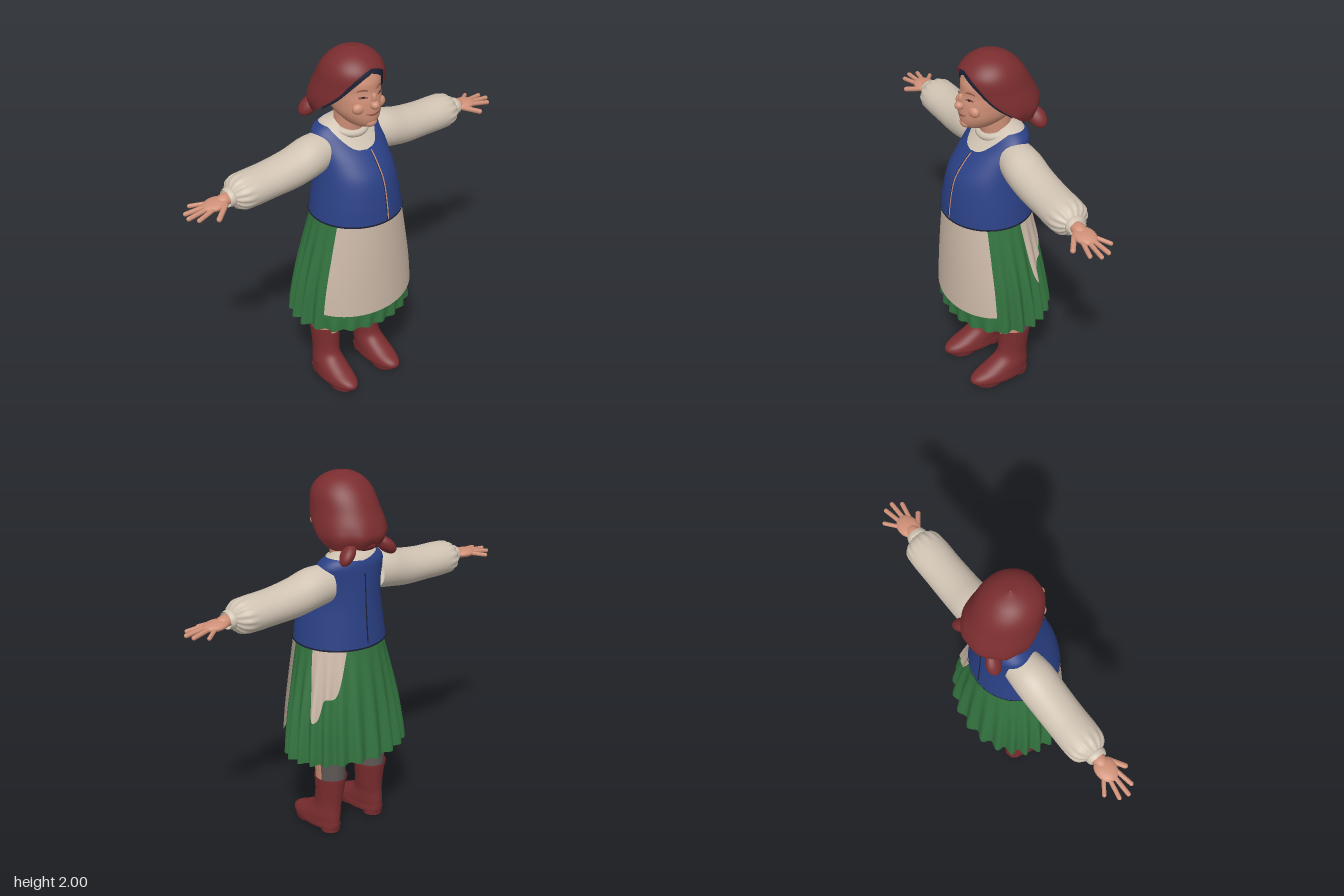
import * as THREE from 'three';

const mat = (name, color, side = THREE.DoubleSide) => {
  const m = new THREE.MeshStandardMaterial({ color, side });
  m.name = name;
  return m;
};

// Smooth lookup in a table of rows [key, value, value, ...]
function lookup(table, x) {
  const n = table.length - 1;
  if (x <= table[0][0]) return table[0].slice(1);
  if (x >= table[n][0]) return table[n].slice(1);
  let i = 0;
  while (table[i + 1][0] < x) i++;
  const a = table[i], b = table[i + 1], p = table[Math.max(i - 1, 0)], q = table[Math.min(i + 2, n)];
  const h = b[0] - a[0], t = (x - a[0]) / h;
  return a.slice(1).map((_, k) => {
    const c = k + 1, ma = (b[c] - p[c]) / (b[0] - p[0]) * h, mb = (q[c] - a[c]) / (q[0] - a[0]) * h;
    return a[c] * (1 + 2 * t) * (1 - t) ** 2 + ma * t * (1 - t) ** 2
      + b[c] * t * t * (3 - 2 * t) + mb * t * t * (t - 1);
  });
}
const edge = (table) => (a) => lookup(table, Math.abs(a))[0];

// Skin over oval sections [y, halfWidth, zFront, zBack, xCentre]; angle 0 is the front
function patch(profile, { lo, hi, a0 = -Math.PI, a1 = Math.PI, n = 48, rows = 20, grow = 0, wave }) {
  const closed = a1 - a0 > 6.28, cols = closed ? n : n + 1, pos = [], idx = [];
  const at = (v, a) => (typeof v === 'function' ? v(a) : v);
  for (let j = 0; j <= rows; j++) for (let i = 0; i < cols; i++) {
    const a = a0 + (a1 - a0) * i / n, y = at(lo, a) + (at(hi, a) - at(lo, a)) * j / rows;
    const [rx, zf, zb, cx = 0] = lookup(profile, y), w = wave ? wave(a, y) : 1;
    pos.push(cx + (rx + grow) * w * Math.sin(a), y, (zf + zb) / 2 + ((zf - zb) / 2 + grow) * w * Math.cos(a));
  }
  for (let j = 0; j < rows; j++) for (let i = 0; i < n; i++) {
    const p = j * cols + i, q = j * cols + (i + 1) % cols;
    idx.push(p, q, q + cols, p, q + cols, p + cols);
  }
  const g = new THREE.BufferGeometry();
  g.setAttribute('position', new THREE.Float32BufferAttribute(pos, 3));
  g.setIndex(idx);
  g.computeVertexNormals();
  return g;
}

function blob(p, s, rz = 0, rx = 0) {
  return new THREE.SphereGeometry(1, 20, 14).scale(...s).rotateZ(rz).rotateX(rx).translate(...p);
}

// Rounded finger between two points
function finger(p, q, r) {
  const a = new THREE.Vector3(...p), b = new THREE.Vector3(...q), d = b.clone().sub(a);
  const g = new THREE.CapsuleGeometry(r, d.length(), 4, 10);
  g.applyQuaternion(new THREE.Quaternion().setFromUnitVectors(new THREE.Vector3(0, 1, 0), d.clone().normalize()));
  const m = a.add(b).multiplyScalar(0.5);
  return g.translate(m.x, m.y, m.z);
}

function mirror(geo) {
  const g = geo.clone().scale(-1, 1, 1), ix = g.index;
  for (let i = 0; i < ix.count; i += 3) {
    const t = ix.getX(i);
    ix.setX(i, ix.getX(i + 1));
    ix.setX(i + 1, t);
  }
  return g;
}

export function createModel() {
  const root = new THREE.Group();
  const red = mat('dark red', 0x7b2d2f), blue = mat('blue', 0x2b4186), green = mat('green', 0x33733f);
  const linen = mat('linen', 0xd0c3b3), apronMat = mat('apron cream', 0xccb9a8), skin = mat('skin', 0xcf9077);
  const hairMat = mat('black hair', 0x1b2032), grey = mat('stocking grey', 0x5f5856), shade = mat('lip brown', 0x8c5040);
  const add = (name, geo, m) => {
    const mesh = new THREE.Mesh(geo, m);
    mesh.name = name;
    root.add(mesh);
  };
  const both = (name, geo, m) => {
    add(name + 'Left', geo, m);
    add(name + 'Right', mirror(geo), m);
  };

  // Skirt with pleats that deepen towards the hem
  const skirt = [[0.44, 0.345, 0.265, -0.275], [0.5, 0.343, 0.265, -0.275], [0.7, 0.32, 0.262, -0.25],
    [0.9, 0.28, 0.258, -0.22], [1.12, 0.23, 0.25, -0.18]];
  const pleat = (a, y) => {
    const k = Math.max(0.12, THREE.MathUtils.smoothstep(Math.abs(a), 0.9, 1.4), 0.6 * (1 - THREE.MathUtils.smoothstep(y, 0.46, 0.56)));
    return 1 + 0.06 * k * Math.min(1, (1.12 - y) / 0.6) * Math.cos(22 * a + 0.8 * Math.sin(3 * a));
  };
  add('skirt', patch(skirt, { lo: (a) => 0.467 - 0.014 * Math.cos(a), hi: 1.12, n: 220, rows: 24, wave: pleat }), green);
  add('apron', patch(skirt, { lo: (a) => 0.548 + 0.02 * a * a, hi: 1.115, a0: -1.02, a1: 1.02, grow: 0.018 }), apronMat);
  const clothEdge = edge([[1.85, 1.05], [1.95, 0.76], [2.08, 0.72], [2.2, 0.83], [2.45, 0.86], [2.65, 1.08]]);
  add('skirtClothPatch', patch(skirt, { lo: clothEdge, hi: 1.115, a0: 1.85, a1: 2.65, n: 60, grow: 0.005, wave: pleat }), apronMat);

  // Blouse body, waistcoat and its trims
  const torso = [[1.09, 0.252, 0.277, -0.2], [1.2, 0.235, 0.265, -0.19], [1.33, 0.212, 0.235, -0.18],
    [1.42, 0.203, 0.175, -0.175], [1.5, 0.203, 0.1, -0.17], [1.55, 0.192, 0.055, -0.165],
    [1.58, 0.15, 0.025, -0.145], [1.6, 0.07, 0, -0.1]];
  add('blouse', patch(torso, { lo: 1.3, hi: 1.6, grow: -0.008 }), linen);
  const neckline = edge([[0, 1.465], [0.35, 1.48], [0.75, 1.555], [1.1, 1.578], [2.4, 1.578], [3.142, 1.565]]);
  add('waistcoat', patch(torso, { lo: 1.095, hi: neckline, n: 72, rows: 30 }), blue);
  add('waistcoatHem', patch(torso, { lo: 1.094, hi: 1.103, rows: 2, grow: 0.004 }), hairMat);
  add('waistcoatOpening', patch(torso, { lo: 1.105, hi: 1.46, a0: 0.09, a1: 0.125, n: 2, grow: 0.003 }), skin);
  add('waistcoatSeamFront', patch(torso, { lo: 1.105, hi: 1.46, a0: 0.07, a1: 0.09, n: 2, grow: 0.003 }), hairMat);
  add('waistcoatSeamBack', patch(torso, { lo: 1.12, hi: 1.5, a0: 3.125, a1: 3.16, n: 2, grow: 0.002 }), hairMat);
  add('collar', new THREE.TorusGeometry(0.083, 0.02, 10, 32).rotateX(Math.PI / 2 + 0.3).translate(0, 1.56, -0.01), linen);

  // Sleeves, built upright and turned to the side; gathered at the wrist
  const sleeve = [[0.16, 0.1, 0.06, -0.14, -1.445], [0.25, 0.106, 0.075, -0.145, -1.435], [0.36, 0.1, 0.075, -0.142, -1.412],
    [0.5, 0.092, 0.072, -0.14, -1.4], [0.66, 0.089, 0.07, -0.138, -1.395], [0.71, 0.075, 0.05, -0.12, -1.395],
    [0.735, 0.045, 0.02, -0.08, -1.395]];
  const gather = (a, y) => 1 + 0.045 * THREE.MathUtils.smoothstep(y, 0.62, 0.72) * Math.cos(14 * a);
  both('sleeve', patch(sleeve, { lo: 0.16, hi: 0.735, n: 84, rows: 28, wave: gather }).rotateZ(-Math.PI / 2), linen);
  const cuff = [[0.72, 0.042, 0.018, -0.076, -1.395], [0.74, 0.05, 0.026, -0.084, -1.395], [0.765, 0.044, 0.02, -0.076, -1.393]];
  both('cuff', patch(cuff, { lo: 0.72, hi: 0.765, rows: 6 }).rotateZ(-Math.PI / 2), linen);

  // Hands
  both('wrist', blob([0.77, 1.392, -0.028], [0.05, 0.03, 0.036]), skin);
  both('palm', blob([0.825, 1.385, -0.03], [0.072, 0.024, 0.056], -0.06), skin);
  const fingers = [[0.79, 0.008, 0.865, 0.062, 0.014], [0.86, 0.006, 0.955, 0.026, 0.012], [0.87, -0.02, 0.987, -0.018, 0.012],
    [0.865, -0.045, 0.975, -0.065, 0.012], [0.85, -0.065, 0.92, -0.115, 0.011]];
  fingers.forEach(([x, z, tx, tz, r], i) => both('finger' + (i + 1), finger([x, 1.383, z], [tx, i ? 1.37 : 1.358, tz], r), skin));

  // Neck and head
  add('neck', patch([[1.5, 0.082, 0.06, -0.1], [1.66, 0.078, 0.08, -0.09]], { lo: 1.5, hi: 1.66 }), skin);
  const head = [[1.595, 0.004, 0.1, 0.09], [1.605, 0.045, 0.145, 0.02], [1.63, 0.078, 0.175, -0.05], [1.68, 0.113, 0.186, -0.11],
    [1.75, 0.127, 0.183, -0.14], [1.8, 0.132, 0.172, -0.15], [1.86, 0.135, 0.166, -0.15], [1.93, 0.1, 0.12, -0.11], [1.975, 0.003, 0.01, 0]];
  add('head', patch(head, { lo: 1.595, hi: 1.975, rows: 40 }), skin);
  add('nose', blob([0, 1.742, 0.19], [0.024, 0.022, 0.026]), skin);
  add('noseBridge', blob([0, 1.772, 0.178], [0.014, 0.035, 0.018], 0, 0.2), skin);
  both('cheek', blob([0.062, 1.725, 0.143], [0.04, 0.032, 0.028]), skin);
  add('chin', blob([0, 1.635, 0.16], [0.035, 0.024, 0.025]), skin);
  add('mouth', patch(head, { lo: (a) => 1.684 + 0.09 * a * a, hi: (a) => 1.694 + 0.05 * a * a, a0: -0.36, a1: 0.36, n: 16, rows: 2, grow: 0.003 }), shade);
  both('eye', patch(head, { lo: 1.782, hi: (a) => 1.794 - 0.15 * (a - 0.42) ** 2, a0: 0.24, a1: 0.58, n: 10, rows: 2, grow: 0.003 }), shade);
  both('pupil', patch(head, { lo: 1.783, hi: 1.793, a0: 0.37, a1: 0.46, n: 4, rows: 2, grow: 0.005 }), hairMat);
  both('eyebrow', patch(head, { lo: (a) => 1.822 - 0.15 * (a - 0.4) ** 2, hi: (a) => 1.83 - 0.2 * (a - 0.4) ** 2, a0: 0.2, a1: 0.6, n: 10, rows: 2, grow: 0.003 }), shade);

  // Headscarf over a band of hair, tied behind
  const scarf = [[1.58, 0.14, 0.07, -0.18], [1.64, 0.168, 0.1, -0.215], [1.7, 0.187, 0.14, -0.245], [1.75, 0.186, 0.168, -0.235],
    [1.82, 0.172, 0.182, -0.2], [1.9, 0.155, 0.178, -0.155], [1.95, 0.122, 0.142, -0.11], [1.985, 0.068, 0.083, -0.055], [2, 0.002, 0.015, 0.01]];
  const drape = (a, y) => 1 + 0.025 * (1 - THREE.MathUtils.smoothstep(y, 1.62, 1.8)) * Math.cos(9 * a);
  const scarfEdge = edge([[0, 1.93], [0.35, 1.915], [0.7, 1.87], [1.05, 1.78], [1.4, 1.7], [1.8, 1.645], [2.4, 1.65], [3.142, 1.66]]);
  const hairEdge = edge([[0, 1.905], [0.35, 1.88], [0.7, 1.83], [1.05, 1.75], [1.35, 1.69]]);
  add('headscarf', patch(scarf, { lo: scarfEdge, hi: 2, n: 96, rows: 40, wave: drape }), red);
  add('hair', patch(scarf, { lo: hairEdge, hi: 1.96, a0: -1.35, a1: 1.35, grow: -0.012 }), hairMat);
  add('scarfKnot', blob([0, 1.665, -0.17], [0.075, 0.04, 0.06]), red);
  both('scarfTail', blob([0.125, 1.63, -0.185], [0.034, 0.066, 0.045], 0.75, 0.4), red);

  // Legs with grey stocking backs
  const leg = [[0.3, 0.072, 0.035, -0.135, 0.138], [0.4, 0.078, 0.042, -0.14, 0.137], [0.5, 0.088, 0.06, -0.145, 0.135], [0.75, 0.1, 0.09, -0.14, 0.125]];
  both('leg', patch(leg, { lo: 0.3, hi: 0.75 }), skin);
  both('stockingBack', patch(leg, { lo: 0.3, hi: 0.7, a0: 1.8, a1: 4.48, grow: 0.003 }), grey);

  // Boots
  const boot = [[0.008, 0.002, 0.06, 0.056, 0.152], [0.016, 0.066, 0.195, -0.105, 0.152], [0.03, 0.078, 0.226, -0.125, 0.152],
    [0.06, 0.078, 0.212, -0.128, 0.152], [0.1, 0.075, 0.135, -0.128, 0.15], [0.15, 0.068, 0.06, -0.126, 0.146],
    [0.2, 0.07, 0.04, -0.13, 0.142], [0.33, 0.083, 0.034, -0.148, 0.138]];
  both('boot', patch(boot, { lo: 0.008, hi: 0.332, rows: 48 }), red);
  both('bootRim', patch(boot, { lo: 0.318, hi: 0.336, rows: 2, grow: 0.004 }), red);
  both('bootHeel', new THREE.CylinderGeometry(0.056, 0.052, 0.04, 20).translate(0.152, 0.02, -0.07), red);
  both('bootSole', new THREE.CylinderGeometry(0.07, 0.066, 0.02, 24).scale(1, 1, 1.25).translate(0.152, 0.012, 0.115), red);
  return root;
}
